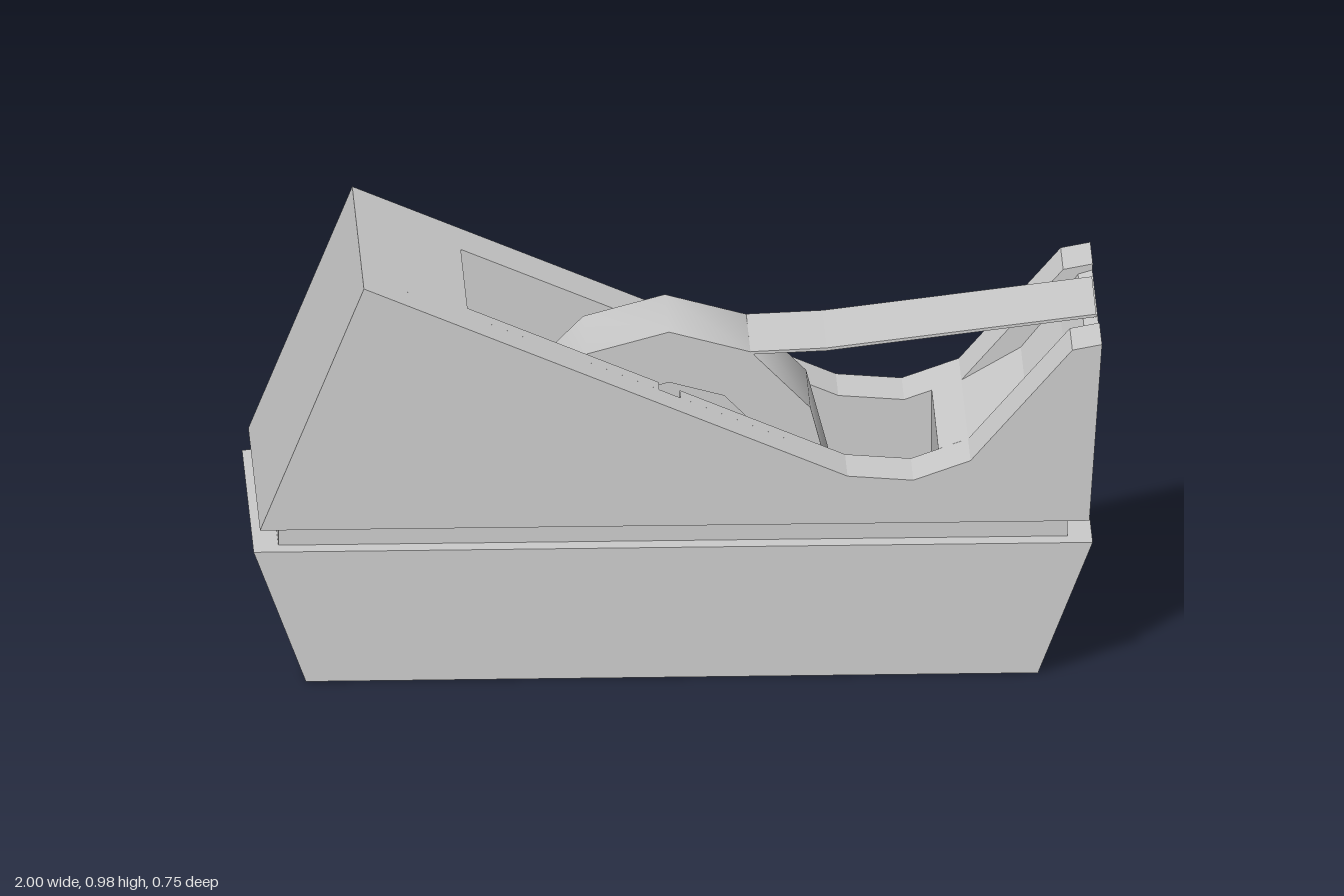
import * as THREE from 'three';
import { toCreasedNormals } from 'three/addons/utils/BufferGeometryUtils.js';

const material = new THREE.MeshStandardMaterial({ color: 0xcccccc });

// Half depths: outer case, neck, axle slot, tape well, tape
const CASE = 0.375, NECK = 0.325, SLOT = 0.27, WELL = 0.215, TAPE = 0.138;
const WELL_BACK = -0.49, WELL_FRONT = 0.62;
const slopeY = (x) => 0.975 - (x + 0.74) * 0.421;

export function createModel() {
  const model = new THREE.Group();

  function add(name, geometry, parent = model) {
    const mesh = new THREE.Mesh(geometry, material);
    mesh.name = name;
    parent.add(mesh);
    return mesh;
  }

  // Side profile in x/y, extruded from z0 to z1
  function slab(name, points, z0, z1, parent) {
    const shape = new THREE.Shape(points.map(([x, y]) => new THREE.Vector2(x, y)));
    const geometry = new THREE.ExtrudeGeometry(shape, { depth: z1 - z0, bevelEnabled: false });
    return add(name, geometry.translate(0, 0, z0), parent);
  }

  function mirroredSlabs(name, points, z0, z1, parent) {
    slab(name + 'Front', points, z0, z1, parent);
    slab(name + 'Back', points, -z1, -z0, parent);
  }

  // Frame around the tape well whose ends lean from bottom to top
  function wellFrame(name, [left0, right0, y0], [left1, right1, y1], halfDepth) {
    const group = new THREE.Group();
    group.name = name;
    model.add(group);
    mirroredSlabs(name + 'Side', [[left0, y0], [right0, y0], [right1, y1], [left1, y1]], WELL, halfDepth, group);
    slab(name + 'Rear', [[left0, y0], [WELL_BACK, y0], [WELL_BACK, y1], [left1, y1]], -WELL, WELL, group);
    slab(name + 'Nose', [[WELL_FRONT, y0], [right0, y0], [right1, y1], [WELL_FRONT, y1]], -WELL, WELL, group);
  }

  // Weighted base, bottom plate and recessed neck
  wellFrame('base', [-0.878, 0.85, 0.003], [-1, 0.978, 0.323], CASE);
  wellFrame('neck', [-0.94, 0.92, 0.323], [-0.94, 0.92, 0.377], NECK);
  add('bottomPlate', new THREE.BoxGeometry(1.728, 0.004, CASE * 2).translate(-0.014, 0.002, 0));

  // Upper body: outer cheeks, then inner cheeks with open axle slots
  const body = new THREE.Group();
  body.name = 'body';
  model.add(body);
  const rear = [[-0.985, 0.377], [0.97, 0.377], [1, 0.815], [0.93, 0.802], [0.69, 0.53], [0.555, 0.483], [0.4, 0.495]];
  const peak = [-0.74, 0.975];
  mirroredSlabs('outerCheek', [...rear, peak], SLOT, CASE, body);
  const slot = [[0.01, slopeY(0.01)], [0.01, 0.38], [-0.04, 0.38], [-0.04, slopeY(-0.04)]];
  mirroredSlabs('innerCheek', [...rear, ...slot, peak], WELL, SLOT, body);

  // Solid rear and the nose with its sunken ramp
  slab('bodyRear', [[-0.985, 0.377], [WELL_BACK, 0.377], [WELL_BACK, slopeY(WELL_BACK)], peak], -WELL, WELL, body);
  slab('bodyNose', [
    [WELL_FRONT, 0.377], [0.97, 0.377], [0.999, 0.8], [0.965, 0.79],
    [0.92, 0.72], [0.83, 0.61], [0.69, 0.53], [WELL_FRONT, 0.506],
  ], -WELL, WELL, body);

  // Tape roll: twelve-sided ring around a recessed hub and axle
  const roll = new THREE.Group();
  roll.name = 'tapeRoll';
  roll.position.set(-0.012, 0.393, 0);
  model.add(roll);
  const polygon = (radius) => Array.from({ length: 12 }, (_, i) =>
    new THREE.Vector2(Math.cos(i * Math.PI / 6) * radius, Math.sin(i * Math.PI / 6) * radius));
  const ring = new THREE.Shape(polygon(0.385));
  ring.holes.push(new THREE.Path(polygon(0.26)));
  const ringGeometry = new THREE.ExtrudeGeometry(ring, { depth: TAPE * 2, bevelEnabled: false });
  add('tapeRing', toCreasedNormals(ringGeometry.translate(0, 0, -TAPE), 0.7), roll);
  const hub = new THREE.CylinderGeometry(0.26, 0.26, 0.2, 12).rotateX(Math.PI / 2);
  add('hub', hub, roll);
  const axle = new THREE.CylinderGeometry(0.025, 0.025, SLOT * 2, 12).rotateX(Math.PI / 2);
  add('axle', axle, roll);

  // Loose tape strip running from the roll to the cutting edge
  slab('tapeStrip', [
    [0.18, 0.72], [0.36, 0.727], [0.995, 0.803], [0.995, 0.81], [0.36, 0.734], [0.18, 0.727],
  ], -TAPE, TAPE);

  return model;
}
